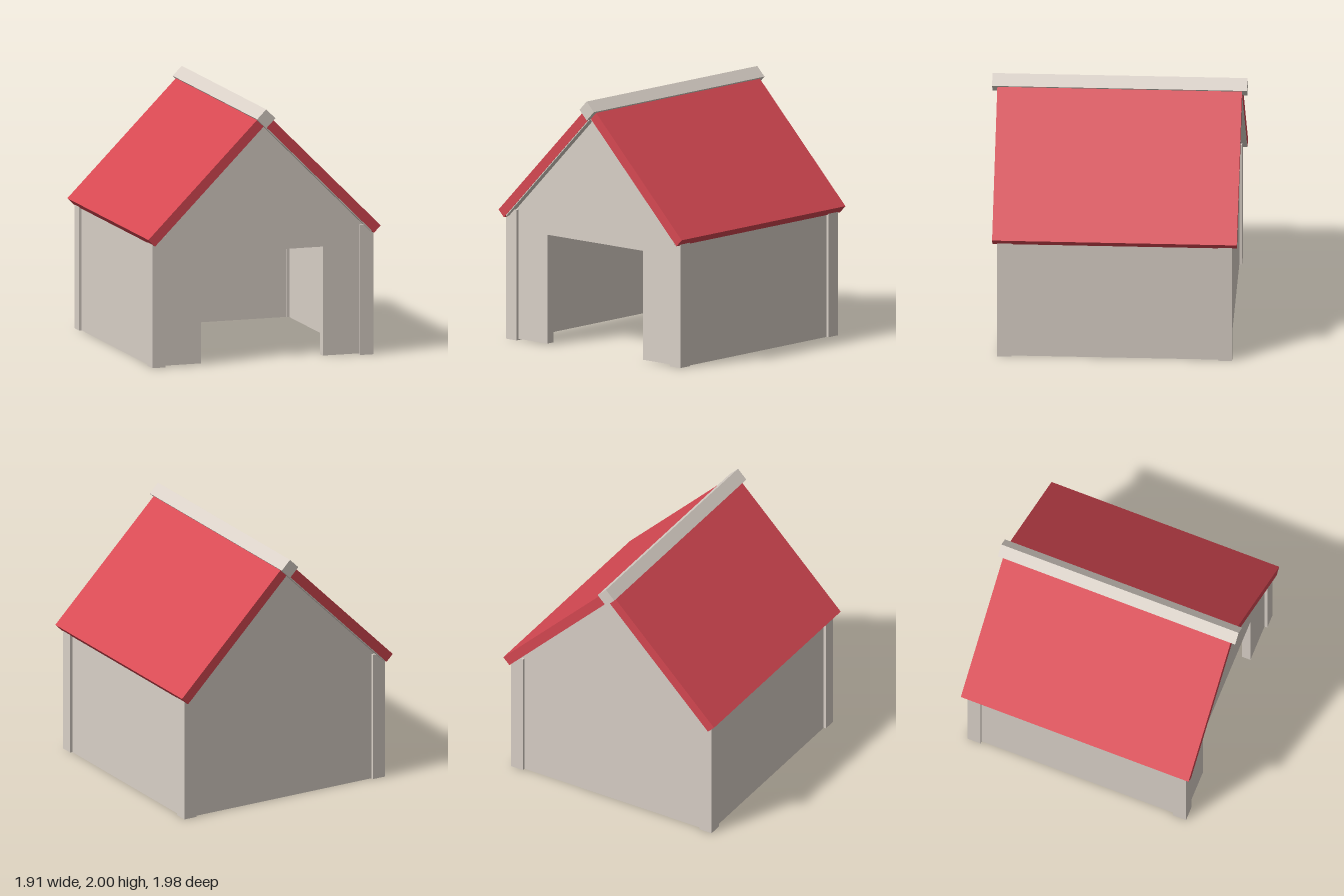
import * as THREE from 'three';

const cream = new THREE.MeshStandardMaterial({ color: 0xd9d0c7 });
cream.name = 'cream';
const red = new THREE.MeshStandardMaterial({ color: 0xd64852 });
red.name = 'roof red';

export function createModel() {
  const house = new THREE.Group();
  house.name = 'shed';

  const add = (name, geometry, material, x = 0, y = 0, z = 0) => {
    const mesh = new THREE.Mesh(geometry, material);
    mesh.name = name;
    mesh.position.set(x, y, z);
    house.add(mesh);
    return mesh;
  };
  const outline = (points) => new THREE.Shape(points.map(([x, y]) => new THREE.Vector2(x, y)));
  // Extrusion centred on z
  const extrude = (points, depth) =>
    new THREE.ExtrudeGeometry(outline(points), { depth, bevelEnabled: false }).translate(0, 0, -depth / 2);

  const wall = 0.07;      // wall thickness
  const face = 0.89;      // outer face of the walls
  const mid = face - wall / 2;
  const eave = 1.03;      // height of posts and side walls
  const peak = 1.865;     // underside of the roof at the ridge
  const shoulder = peak - face;

  // Front gable with the doorway cut out
  add('frontWall', extrude([
    [-face, 0.01], [-0.5, 0.01], [-0.5, 0.87], [0.5, 0.87], [0.5, 0.01], [face, 0.01],
    [face, shoulder], [0, peak], [-face, shoulder],
  ], wall), cream, 0, 0, mid);

  // Closed back gable
  add('backWall', extrude([
    [-face, 0], [face, 0], [face, shoulder], [0, peak], [-face, shoulder],
  ], wall), cream, 0, 0, -mid);

  for (const s of [1, -1]) {
    const side = s > 0 ? 'left' : 'right';

    add(side + 'Wall', new THREE.BoxGeometry(wall, eave, 2 * face - 0.02), cream, s * mid, eave / 2, 0);

    // Corner posts, standing slightly proud of the walls
    for (const t of [1, -1]) {
      add(side + (t > 0 ? 'Front' : 'Back') + 'Post',
        new THREE.BoxGeometry(0.11, eave, 0.11), cream, s * 0.855, eave / 2, t * 0.857);
    }

    // Sloping roof panel and its thin pale lining
    add(side + 'Roof', extrude([
      [s * 0.9, 0.965], [s * 0.955, 1.02], [0, 1.975], [0, peak],
    ], 1.9), red);
    add(side + 'RoofLining', extrude([
      [s * 0.88, peak - 0.89], [s * 0.88, peak - 0.88], [0, peak], [0, peak - 0.01],
    ], 1.896), cream);
  }

  // Ridge beam, a square bar turned on edge
  const ridge = add('ridgeBeam', new THREE.BoxGeometry(0.106, 0.106, 1.98), cream, 0, 1.925, 0);
  ridge.rotation.z = Math.PI / 4;

  return house;
}
